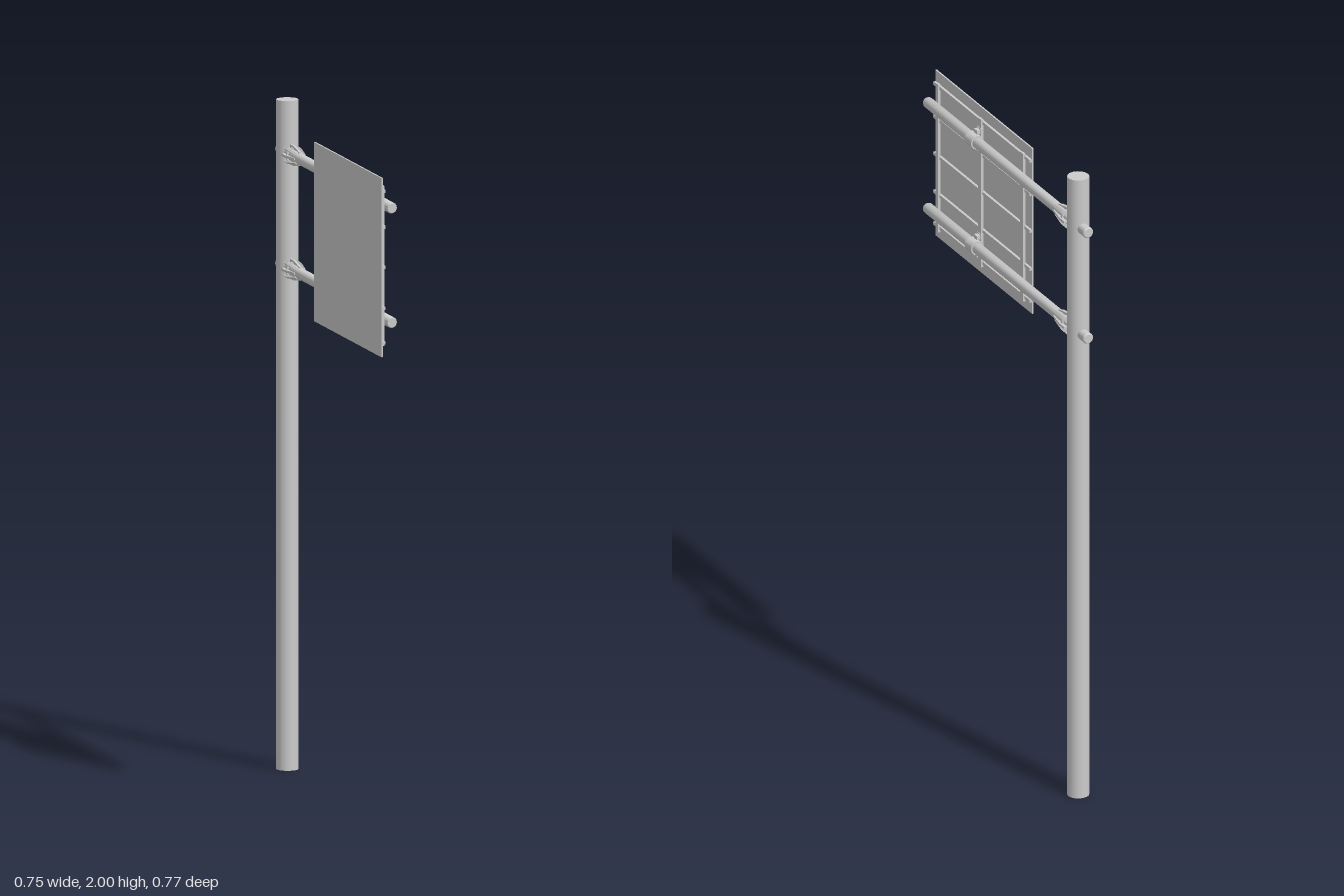
import * as THREE from 'three';
import { toCreasedNormals } from 'three/addons/utils/BufferGeometryUtils.js';

const material = new THREE.MeshStandardMaterial({ color: 0xcccccc });
const AXIS = -0.009; // depth of the pole and arm centre lines
const POLE_X = -0.46;
const ARM_HEIGHTS = [1.5, 1.842];

export function createModel() {
  const model = new THREE.Group();
  model.name = 'roadSign';
  // Built straight along x, then turned so the arms run diagonally
  model.rotation.y = -Math.PI / 4;

  function add(name, geometry, x, y, z, parent = model) {
    const mesh = new THREE.Mesh(geometry, material);
    mesh.name = name;
    mesh.position.set(x, y, z);
    parent.add(mesh);
    return mesh;
  }
  const box = (name, w, h, d, x, y, z, parent) =>
    add(name, new THREE.BoxGeometry(w, h, d), x, y, z, parent);

  // Solid of revolution about x; profile points are [radius, x]
  function turned(name, profile, parent, sides = 16) {
    const points = profile.map(([r, x]) => new THREE.Vector2(r, x));
    let geometry = new THREE.LatheGeometry(points, sides);
    geometry.rotateZ(-Math.PI / 2);
    geometry = toCreasedNormals(geometry, 0.6);
    return add(name, geometry, 0, 0, 0, parent);
  }

  // Upright pole
  add('pole', new THREE.CylinderGeometry(0.033, 0.033, 2, 16), POLE_X, 1, AXIS);

  // Tapered gusset fin, drawn as distance along the arm against radius
  const finShape = new THREE.Shape([
    [-0.427, 0.012], [-0.339, 0.012], [-0.339, 0.02], [-0.396, 0.03], [-0.427, 0.03],
  ].map(([x, y]) => new THREE.Vector2(x, y)));
  const finGeometry = new THREE.ExtrudeGeometry(finShape, { depth: 0.007, bevelEnabled: false });
  finGeometry.translate(0, 0, -0.0035);

  for (const y of ARM_HEIGHTS) {
    const arm = new THREE.Group();
    arm.name = 'armAssembly';
    arm.position.set(0, y, AXIS);
    model.add(arm);

    // Tube with softly rounded ends, passing through the pole
    turned('arm', [
      [0, -0.527], [0.014, -0.527], [0.0168, -0.523],
      [0.0168, 0.503], [0.014, 0.509], [0, 0.509],
    ], arm);

    // Finned socket against the pole
    turned('socketCollar', [
      [0, -0.44], [0.02, -0.44], [0.02, -0.36], [0.017, -0.342], [0, -0.342],
    ], arm);
    turned('socketRing', [
      [0, -0.402], [0.025, -0.402], [0.025, -0.394], [0, -0.394],
    ], arm);
    for (let i = 0; i < 8; i++) {
      add('socketFin', finGeometry, 0, 0, 0, arm).rotation.x = (i * Math.PI) / 4;
    }

    // Clamp holding the panel's middle upright
    turned('clampRing', [
      [0, 0.186], [0.0215, 0.186], [0.0215, 0.228], [0, 0.228],
    ], arm);
    box('clampPlate', 0.026, 0.074, 0.006, 0.207, 0, 0.019, arm);
    for (const side of [-1, 1]) {
      box('clampLug', 0.02, 0.012, 0.014, 0.207, side * 0.027, 0.011, arm);
    }
  }

  // Sign panel
  const panelX = 0.206;
  box('signPanel', 0.621, 0.535, 0.005, panelX, 1.668, 0.0245);

  // Horizontal stiffeners behind the panel
  for (const y of [1.442, 1.545, 1.668, 1.788, 1.895]) {
    box('stiffener', 0.617, 0.01, 0.008, panelX, y, 0.018);
  }

  // Upright rails behind the stiffeners
  for (const x of [-0.062, 0.208, 0.482]) {
    box('uprightRail', 0.018, 0.478, 0.008, x, 1.668, 0.013);
  }

  const root = new THREE.Group();
  root.name = 'signPost';
  root.add(model);
  return root;
}
